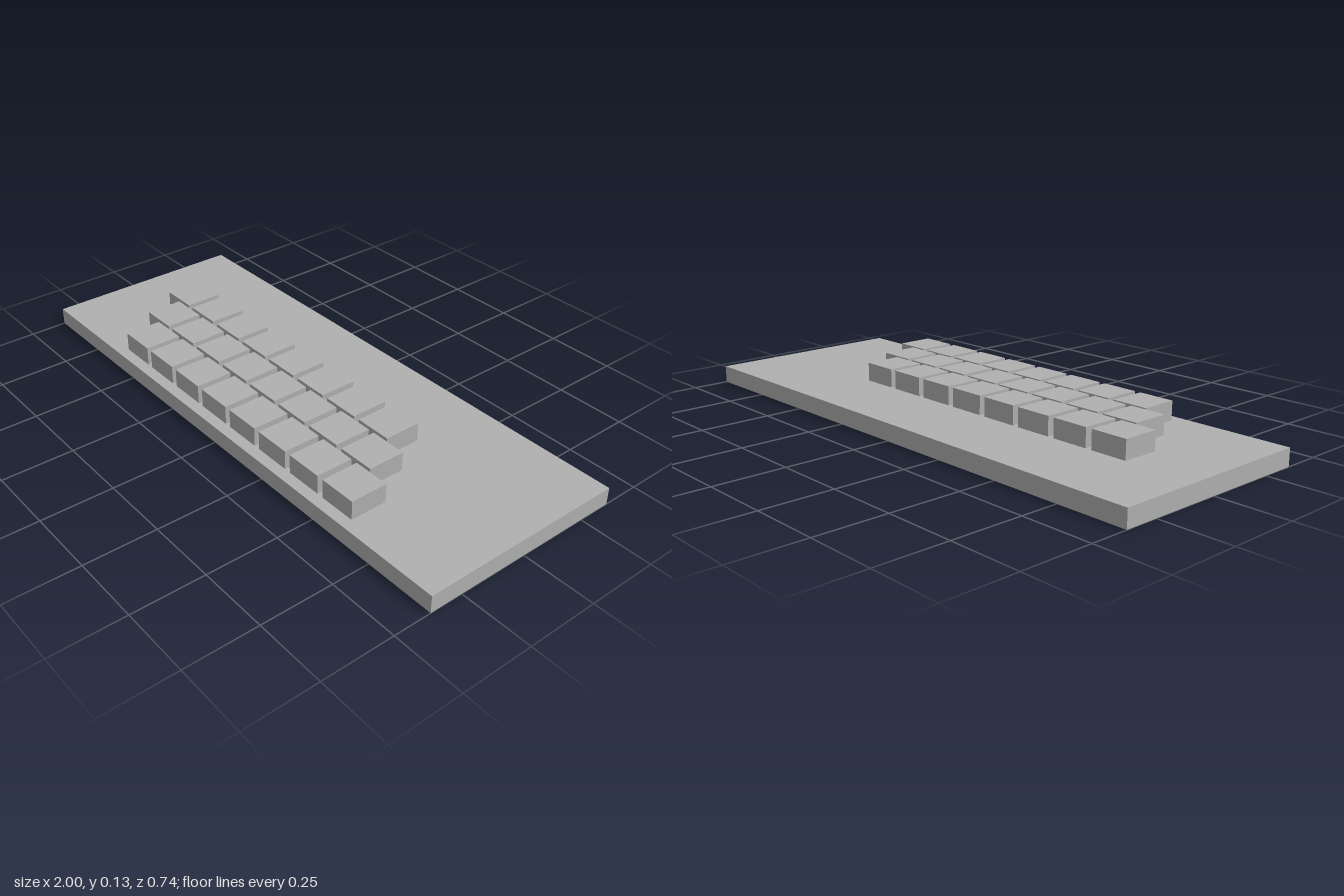
import * as THREE from 'three';

const BASE = { width: 2, height: 0.061, depth: 0.736 };
const KEY = { size: 0.132, height: 0.066 };
const ROWS = 3, COLUMNS = 8;
const PITCH_X = 0.155, PITCH_Z = 0.143, STAGGER = 0.083;
const FIRST_X = -0.688, FIRST_Z = -0.024;

export function createModel() {
  const model = new THREE.Group();
  model.name = 'keyboard';

  const grey = new THREE.MeshStandardMaterial({ color: 0xb0b0b0 });
  grey.name = 'grey';

  // Flat slab
  const base = new THREE.Mesh(new THREE.BoxGeometry(BASE.width, BASE.height, BASE.depth), grey);
  base.name = 'base';
  base.position.y = BASE.height / 2;
  model.add(base);

  // Staggered rows of square keys, from back to front
  const keyGeometry = new THREE.BoxGeometry(KEY.size, KEY.height, KEY.size);
  for (let row = 0; row < ROWS; row++) {
    const keyRow = new THREE.Group();
    keyRow.name = `keyRow${row + 1}`;
    keyRow.position.set(
      FIRST_X + row * STAGGER,
      BASE.height + KEY.height / 2,
      FIRST_Z + row * PITCH_Z
    );
    for (let column = 0; column < COLUMNS; column++) {
      const key = new THREE.Mesh(keyGeometry, grey);
      key.name = `key${row + 1}_${column + 1}`;
      key.position.x = column * PITCH_X;
      keyRow.add(key);
    }
    model.add(keyRow);
  }

  return model;
}
